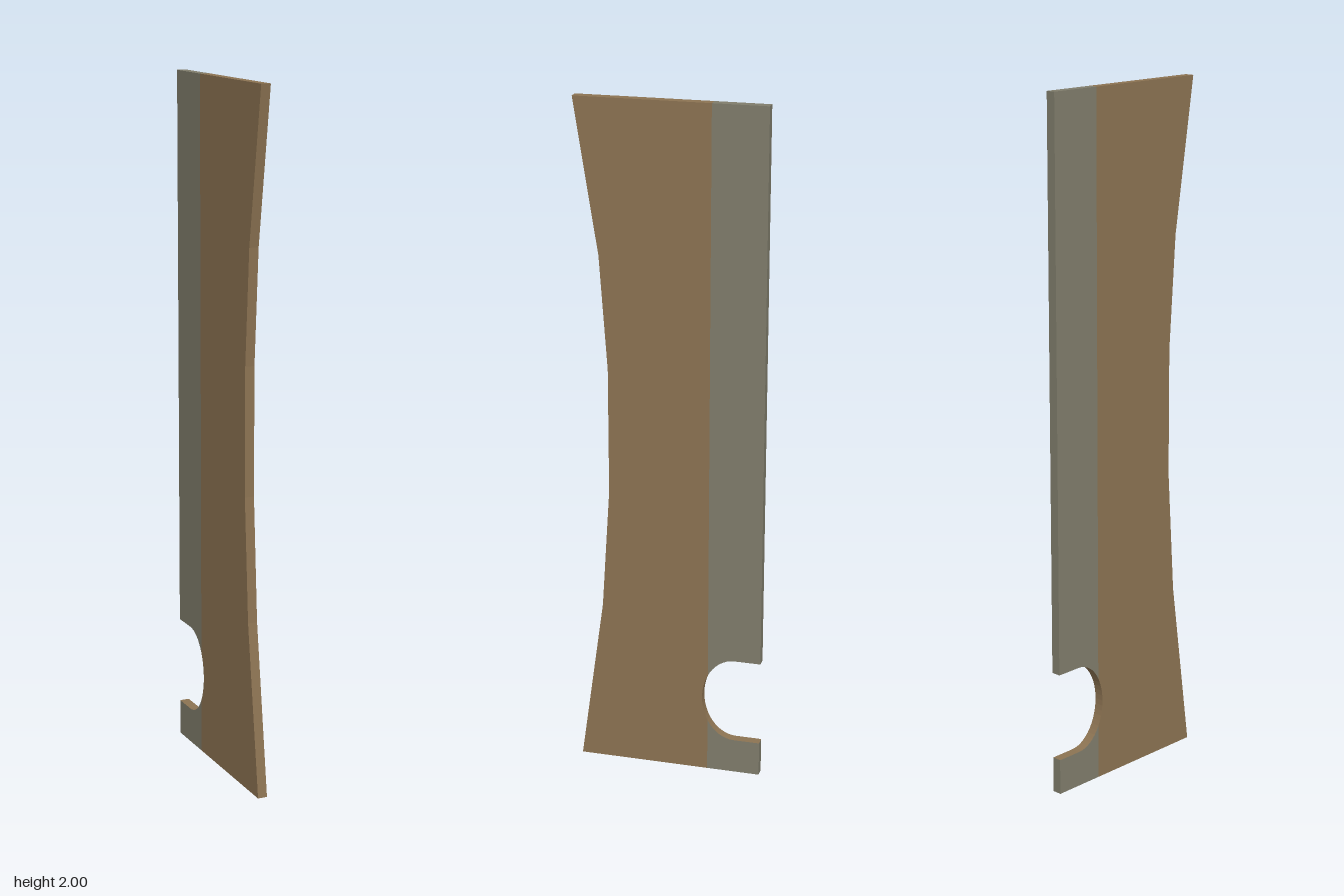
import * as THREE from 'three';

const THICK = 0.028, BACK = -0.272, SEAM = -0.115;
// rounded notch in the back edge: half an ellipse, then straight to the back
const NOTCH = { z: -0.195, y: 0.235, rz: 0.097, ry: 0.13 };

// points along the notch curve, angle 0 pointing to the front
function notchArc(from, to, steps) {
  return Array.from({ length: steps + 1 }, (_, i) => {
    const t = from + ((to - from) * i) / steps;
    return [NOTCH.z + NOTCH.rz * Math.cos(t), NOTCH.y + NOTCH.ry * Math.sin(t)];
  });
}

// extrude a (z, y) outline across x, centred on x = 0
function slab(points) {
  const shape = new THREE.Shape(points.map(([z, y]) => new THREE.Vector2(z, y)));
  const geo = new THREE.ExtrudeGeometry(shape, { depth: THICK, bevelEnabled: false });
  return geo.rotateY(-Math.PI / 2).translate(THICK / 2, 0, 0);
}

// give the notch walls the second material, all other faces the first
function groupNotchWalls(geo) {
  const p = geo.attributes.position, n = geo.attributes.normal;
  geo.clearGroups();
  for (let i = 0; i < p.count; i += 3) {
    const y = (p.getY(i) + p.getY(i + 1) + p.getY(i + 2)) / 3;
    const wall = Math.abs(n.getX(i)) < 0.5 && Math.abs(n.getZ(i)) < 0.99
      && Math.abs(y - NOTCH.y) < NOTCH.ry + 0.01;
    geo.addGroup(i, 3, wall ? 1 : 0);
  }
  return geo;
}

export function createModel() {
  const wood = new THREE.MeshStandardMaterial({ color: 0x8c7352 });
  wood.name = 'brown wood';
  const grey = new THREE.MeshStandardMaterial({ color: 0x807d6c });
  grey.name = 'grey edge';

  const group = new THREE.Group();
  group.name = 'notchedPanel';
  const add = (name, geo, mat) => {
    const mesh = new THREE.Mesh(geo, mat);
    mesh.name = name;
    group.add(mesh);
  };

  // angle at which the notch crosses the colour seam
  const cross = Math.acos((SEAM - NOTCH.z) / NOTCH.rz);

  // main board with a concave faceted front edge
  add('board', slab([
    [SEAM, 0], [0.272, 0], [0.203, 0.5], [0.18, 0.86], [0.18, 1.23], [0.203, 1.56],
    [0.272, 2], [SEAM, 2], ...notchArc(cross, -cross, 10),
  ]), wood);

  // back strip above the notch
  add('upperBackStrip', groupNotchWalls(slab([
    [SEAM, 2], [BACK, 2], [BACK, NOTCH.y + NOTCH.ry],
    ...notchArc(Math.PI / 2, cross, 8),
  ])), [grey, wood]);

  // back strip below the notch
  add('lowerBackStrip', groupNotchWalls(slab([
    [BACK, 0], [SEAM, 0], ...notchArc(-cross, -Math.PI / 2, 8),
    [BACK, NOTCH.y - NOTCH.ry],
  ])), [grey, wood]);

  return group;
}
